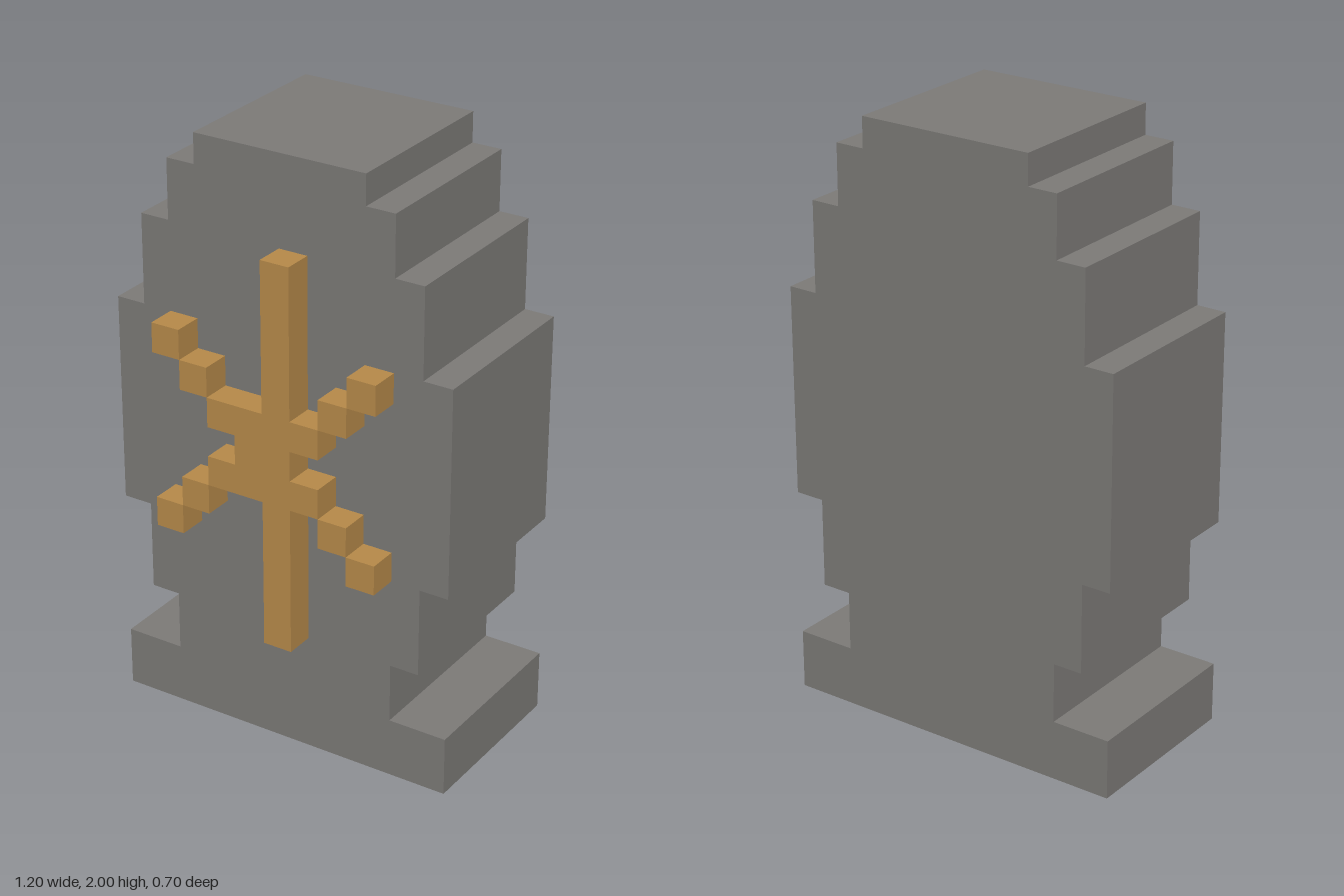
import * as THREE from 'three';

const stone = new THREE.MeshStandardMaterial({ color: 0x7d7b78 });
stone.name = 'stone grey';
const gold = new THREE.MeshStandardMaterial({ color: 0xb88b4a });
gold.name = 'ochre';

const FRONT = 0.25, BACK = -0.35, RELIEF = 0.1;

// Extrude a flat outline from z0 to z0 + depth
function plate(name, points, z0, depth, material) {
  const shape = new THREE.Shape(points.map(([x, y]) => new THREE.Vector2(x, y)));
  const geometry = new THREE.ExtrudeGeometry(shape, { depth, bevelEnabled: false });
  geometry.translate(0, 0, z0);
  const mesh = new THREE.Mesh(geometry, material);
  mesh.name = name;
  return mesh;
}

export function createModel() {
  const model = new THREE.Group();
  model.name = 'steppedStone';

  // Stepped slab: half-width and height of each tier, bottom to top
  const tiers = [[0.6, 0, 0.2], [0.4, 0.2, 0.4], [0.5, 0.4, 0.7], [0.6, 0.7, 1.4],
    [0.5, 1.4, 1.7], [0.4, 1.7, 1.9], [0.3, 1.9, 2]];
  const side = tiers.flatMap(([w, y0, y1]) => [[w, y0], [w, y1]]);
  const outline = [...side, ...side.map(([x, y]) => [-x, y]).reverse()];
  model.add(plate('slab', outline, BACK, FRONT - BACK, stone));

  // Raised emblem: off-centre vertical bar joined to a notched hub
  const emblem = new THREE.Group();
  emblem.name = 'emblem';
  emblem.add(plate('emblemHub', [
    [0, 1.7], [0, 1.2], [-0.2, 1.2], [-0.2, 1.1], [-0.1, 1.1], [-0.1, 1],
    [-0.2, 1], [-0.2, 0.9], [0, 0.9], [0, 0.4], [0.1, 0.4], [0.1, 0.9],
    [0.2, 0.9], [0.2, 1], [0.1, 1], [0.1, 1.1], [0.2, 1.1], [0.2, 1.2],
    [0.1, 1.2], [0.1, 1.7],
  ], FRONT, RELIEF, gold));

  // Diagonal rays: two corner-to-corner cubes in each quadrant
  const cube = new THREE.BoxGeometry(0.1, 0.1, RELIEF);
  for (const sx of [-1, 1]) {
    for (const sy of [-1, 1]) {
      for (const step of [0, 1]) {
        const ray = new THREE.Mesh(cube, gold);
        ray.name = 'emblemRay';
        ray.position.set(sx * (0.25 + step * 0.1), 1.05 + sy * (0.2 + step * 0.1), FRONT + RELIEF / 2);
        emblem.add(ray);
      }
    }
  }
  model.add(emblem);
  return model;
}
